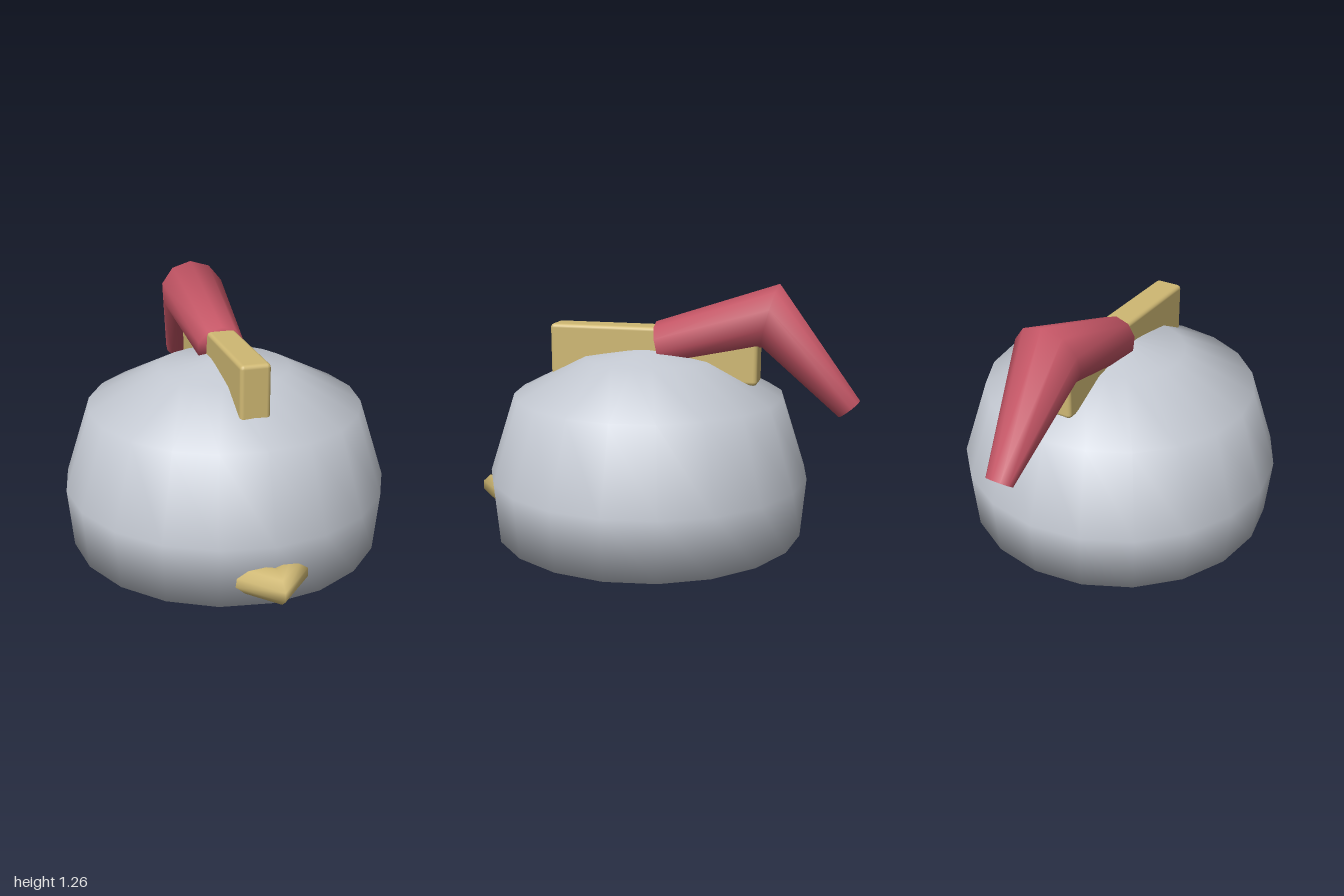
import * as THREE from 'three';
import { RoundedBoxGeometry } from 'three/addons/geometries/RoundedBoxGeometry.js';

const SIDES = 10;

// Closed smooth tube through rings [centre, axisA, axisB], where A x B points along the path
function ringTube(rings) {
  const pos = [], index = [];
  for (const [c, a, b] of rings) {
    for (let j = 0; j < SIDES; j++) {
      const t = (j / SIDES) * Math.PI * 2, cos = Math.cos(t), sin = Math.sin(t);
      for (let k = 0; k < 3; k++) pos.push(c[k] + a[k] * cos + b[k] * sin);
    }
  }
  const last = (rings.length - 1) * SIDES;
  const startCentre = last + SIDES, endCentre = startCentre + 1;
  pos.push(...rings[0][0], ...rings[rings.length - 1][0]);
  for (let j = 0; j < SIDES; j++) {
    const n = (j + 1) % SIDES;
    for (let r = 0; r < last; r += SIDES) {
      index.push(r + j, r + n, r + SIDES + j, r + n, r + SIDES + n, r + SIDES + j);
    }
    index.push(startCentre, n, j, endCentre, last + j, last + n);
  }
  const geo = new THREE.BufferGeometry();
  geo.setAttribute('position', new THREE.Float32BufferAttribute(pos, 3));
  geo.setIndex(index);
  geo.computeVertexNormals();
  return geo;
}

export function createModel() {
  const group = new THREE.Group();
  const material = (name, color) => {
    const m = new THREE.MeshStandardMaterial({ color });
    m.name = name;
    return m;
  };
  const grey = material('paleGrey', 0xc3c8d1);
  const tan = material('tan', 0xcfb873);
  const red = material('red', 0xc45565);

  const add = (name, geo, mat) => {
    const mesh = new THREE.Mesh(geo, mat);
    mesh.name = name;
    group.add(mesh);
    return mesh;
  };

  // Domed body with a closed base, smooth shaded throughout
  const profile = [[0, 0], [0.785, 0], [0.81, 0.3], [0.68, 0.7], [0.325, 0.88], [0, 0.94]]
    .map(([x, y]) => new THREE.Vector2(x, y));
  add('body', new THREE.LatheGeometry(profile, 20), grey).position.z = 0.05;

  // Upright bar running front to back across the top
  add('topBar', new RoundedBoxGeometry(0.145, 0.27, 1.06, 2, 0.02), tan).position.set(0, 0.905, 0.02);

  // Bent hood over the back of the bar, widest at its bend
  add('bentHood', ringTube([
    [[0, 0.953, -0.012], [0, 0.108, 0.023], [0.12, 0, 0]],
    [[0, 1.107, -0.56], [0, 0.155, -0.04], [0.173, 0, 0]],
    [[0, 0.67, -0.95], [0, 0.042, -0.05], [0.065, 0, 0]],
  ]), red);

  // V-shaped beak at the front, pointing forward
  add('beak', ringTube([
    [[-0.127, 0.125, 0.757], [0, 0.075, 0], [-0.055, 0, 0.055]],
    [[0, 0.125, 0.884], [0, 0.075, 0], [0, 0, 0.112]],
    [[0.127, 0.125, 0.757], [0, 0.075, 0], [0.055, 0, 0.055]],
  ]), tan);

  return group;
}
